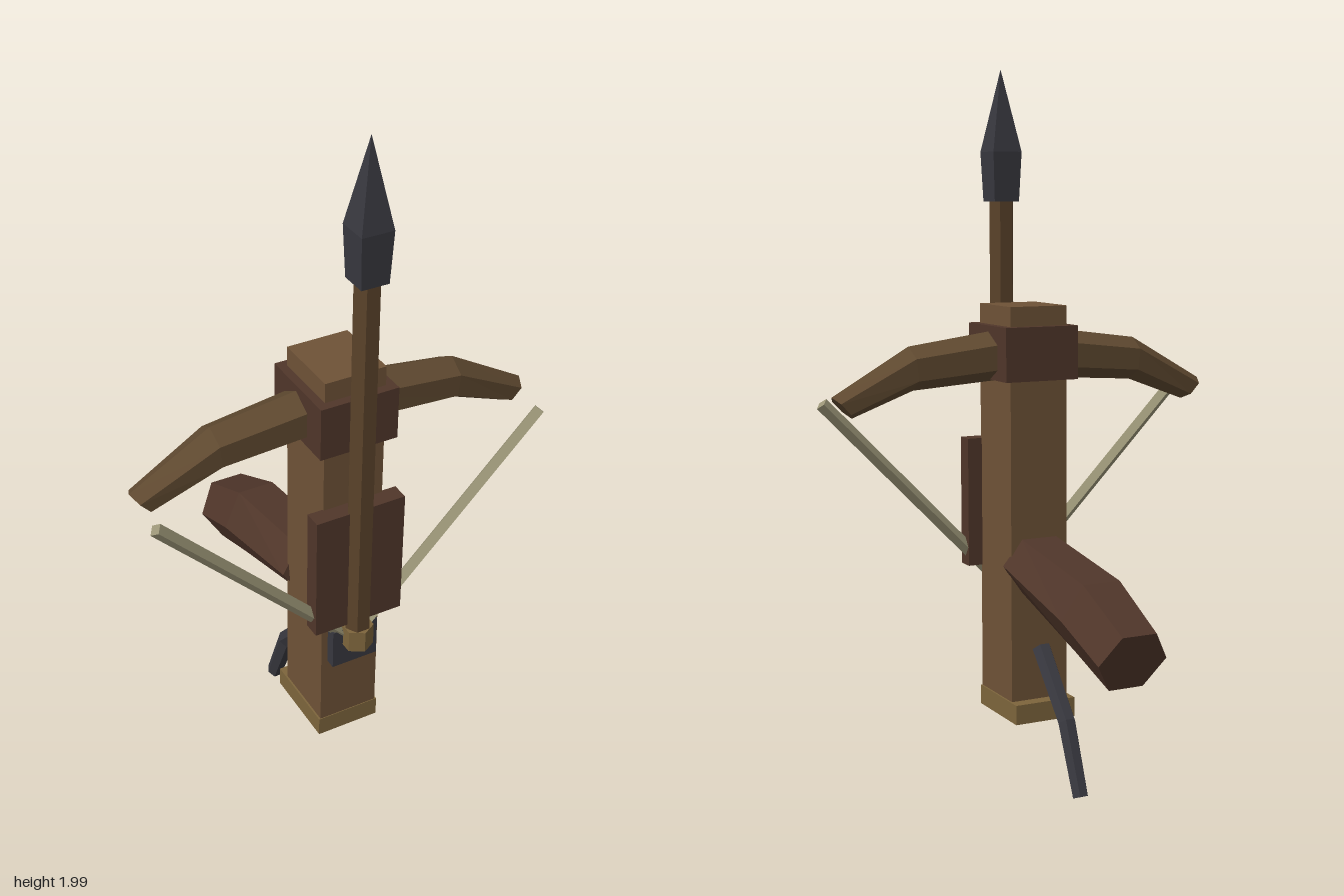
import * as THREE from 'three';

const WOOD = 0x6e5237, DARK_WOOD = 0x50362a, BOW_WOOD = 0x5f4930, SHAFT_WOOD = 0x5a432a;
const TAN = 0x7d653c, METAL = 0x38383f, CORD = 0x9a9476;

function addMesh(group, name, geometry, color, position = [0, 0, 0]) {
  const material = new THREE.MeshStandardMaterial({ color, flatShading: true });
  const mesh = new THREE.Mesh(geometry, material);
  mesh.name = name;
  mesh.position.set(...position);
  group.add(mesh);
  return mesh;
}

// Box given by its extents on each axis
function addBox(group, name, color, [x0, x1], [y0, y1], [z0, z1]) {
  addMesh(group, name, new THREE.BoxGeometry(x1 - x0, y1 - y0, z1 - z0), color,
    [(x0 + x1) / 2, (y0 + y1) / 2, (z0 + z1) / 2]);
}

// Capped six-sided loft; each section has a centre c, a width axis w and a height axis h
function loft(sections, offset = 0) {
  const n = 6, points = [], index = [];
  for (const { c, w, h } of sections) {
    for (let j = 0; j < n; j++) {
      const a = offset + (j / n) * Math.PI * 2;
      points.push(...c.map((v, k) => v + w[k] * Math.cos(a) + h[k] * Math.sin(a)));
    }
  }
  const last = (sections.length - 1) * n;
  for (let s = 0; s < last; s += n) {
    for (let j = 0; j < n; j++) {
      const k = (j + 1) % n;
      index.push(s + j, s + k, s + n + k, s + j, s + n + k, s + n + j);
    }
  }
  for (let j = 1; j < n - 1; j++) {
    index.push(0, j + 1, j, last, last + j, last + j + 1);
  }
  const geometry = new THREE.BufferGeometry();
  geometry.setAttribute('position', new THREE.Float32BufferAttribute(points, 3));
  geometry.setIndex(index);
  geometry.computeVertexNormals();
  return geometry;
}

// Section of a part that bends in the side plane
const sideSection = (y, z, rx, ry, tilt) => ({
  c: [0, y, z], w: [rx, 0, 0], h: [0, ry * Math.cos(tilt), -ry * Math.sin(tilt)],
});

// Section of a part that bends in the front plane
const frontSection = (x, y, z, r, tilt) => ({
  c: [x, y, z], w: [0, 0, r], h: [r * Math.sin(tilt), r * Math.cos(tilt), 0],
});

export function createModel() {
  const model = new THREE.Group();
  model.name = 'crossbow';

  // Body
  addBox(model, 'stock', WOOD, [-0.087, 0.087], [0.175, 1.345], [0.143, 0.34]);
  addBox(model, 'bowMount', DARK_WOOD, [-0.111, 0.111], [1.14, 1.29], [0.12, 0.365]);
  addBox(model, 'railPlate', DARK_WOOD, [-0.13, 0.13], [0.59, 0.96], [0.335, 0.385]);
  addBox(model, 'buttPlate', TAN, [-0.092, 0.092], [0.174, 0.23], [0.105, 0.342]);
  addBox(model, 'stringCatch', METAL, [-0.068, 0.068], [0.44, 0.56], [0.33, 0.37]);

  // Bow, from the left tip to the right tip
  const limb = [[0.545, 1.083, 0.041, 0.75], [0.345, 1.18, 0.061, 0.1]];
  const bow = [
    ...limb.map(([x, y, r, t]) => frontSection(x, y, 0.235, r, t)),
    frontSection(0, 1.215, 0.235, 0.073, 0),
    ...limb.reverse().map(([x, y, r, t]) => frontSection(-x, y, 0.235, r, -t)),
  ];
  addMesh(model, 'bow', loft(bow, Math.PI / 6), BOW_WOOD);

  // Two halves of the drawn string
  for (const side of [-1, 1]) {
    const tip = new THREE.Vector2(side * 0.558, 1.082), nock = new THREE.Vector2(0, 0.51);
    const along = tip.clone().sub(nock);
    const cord = addMesh(model, side > 0 ? 'leftString' : 'rightString',
      new THREE.CylinderGeometry(0.019, 0.019, along.length(), 4), CORD,
      [(tip.x + nock.x) / 2, (tip.y + nock.y) / 2, 0.357]);
    cord.rotation.z = along.angle() - Math.PI / 2;
  }

  // Grip and trigger lever, from the free end to the stock
  addMesh(model, 'grip', loft([
    sideSection(0.467, -0.386, 0.1, 0.098, 0.42),
    sideSection(0.545, -0.2, 0.11, 0.112, 0.2),
    sideSection(0.622, 0.155, 0.107, 0.085, 0.15),
  ]), DARK_WOOD);
  addMesh(model, 'triggerLever', loft([
    sideSection(0.017, -0.105, 0.023, 0.025, 1.16),
    sideSection(0.207, -0.024, 0.026, 0.028, 0.98),
    sideSection(0.38, 0.13, 0.028, 0.029, 0.86),
  ]), METAL);

  // Bolt: shaft, nock and four-sided head
  const bolt = new THREE.Group();
  bolt.name = 'bolt';
  bolt.position.z = 0.38;
  model.add(bolt);
  const shaft = new THREE.CylinderGeometry(0.037, 0.037, 1.12, 6).rotateY(Math.PI / 6);
  addMesh(bolt, 'boltShaft', shaft, SHAFT_WOOD, [0, 1.08, 0]);
  const nock = new THREE.CylinderGeometry(0.044, 0.044, 0.065, 6);
  addMesh(bolt, 'boltNock', nock, TAN, [0, 0.543, 0]);
  const head = (top, bottom, height) => new THREE.CylinderGeometry(
    top * Math.SQRT2, bottom * Math.SQRT2, height, 4).rotateY(Math.PI / 4);
  addMesh(bolt, 'boltSocket', head(0.044, 0.038, 0.14), METAL, [0, 1.7, 0]);
  addMesh(bolt, 'boltPoint', head(0, 0.044, 0.23), METAL, [0, 1.885, 0]);

  return model;
}
